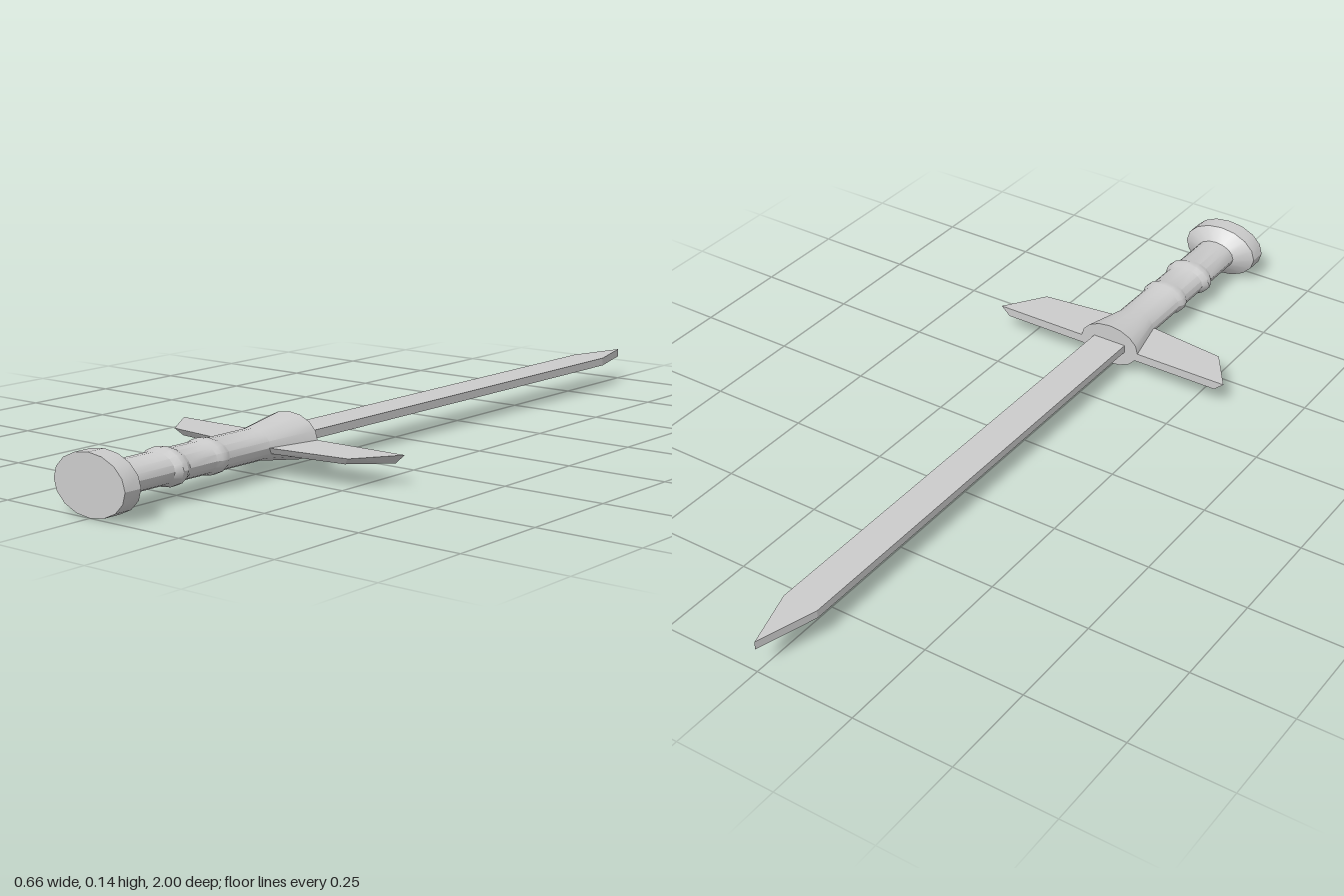
import * as THREE from 'three';
import { toCreasedNormals } from 'three/addons/utils/BufferGeometryUtils.js';
import { ConvexGeometry } from 'three/addons/geometries/ConvexGeometry.js';

const MID_Y = 0.07; // height of the sword's centre line

export function createModel() {
  const sword = new THREE.Group();
  sword.name = 'sword';
  const material = new THREE.MeshStandardMaterial({ color: 0xcccccc });
  const add = (name, geometry) => {
    const mesh = new THREE.Mesh(geometry, material);
    mesh.name = name;
    sword.add(mesh);
    return mesh;
  };

  // Hilt: flared collar, ringed grip and pommel as one oval turned profile [radius, z]
  const profile = [
    [0, 0.385], [0.083, 0.385], [0.055, 0.51],
    [0.055, 0.64], [0.061, 0.652], [0.061, 0.668], [0.055, 0.68],
    [0.055, 0.762], [0.065, 0.778], [0.065, 0.792], [0.055, 0.808],
    [0.055, 0.928], [0.104, 0.955], [0.104, 1], [0, 1],
  ].map(([r, z]) => new THREE.Vector2(r, z));
  const hilt = new THREE.LatheGeometry(profile, 16);
  hilt.scale(1, 1, 0.665);
  hilt.rotateX(Math.PI / 2);
  hilt.translate(0, MID_Y, 0);
  add('hilt', toCreasedNormals(hilt, 0.5));

  // Crossguard: two wings with bevelled ends and a sloping underside
  const wing = [
    [0.03, 0.07, 0.385], [0.33, 0.07, 0.385], [0.258, 0.07, 0.49], [0.03, 0.07, 0.517],
    [0.03, 0.048, 0.385], [0.305, 0.048, 0.385], [0.24, 0.054, 0.48], [0.03, 0.055, 0.507],
  ];
  for (const [name, side] of [['leftGuard', 1], ['rightGuard', -1]]) {
    add(name, new ConvexGeometry(wing.map(([x, y, z]) => new THREE.Vector3(side * x, y, z))));
  }

  // Blade: flat pointed outline drawn in x and -z, extruded upwards
  const outline = new THREE.Shape([
    [-0.045, -0.4], [0.045, -0.4], [0.045, 0.85], [0, 1], [-0.045, 0.85],
  ].map(([x, y]) => new THREE.Vector2(x, y)));
  const blade = new THREE.ExtrudeGeometry(outline, { depth: 0.02, bevelEnabled: false });
  blade.rotateX(-Math.PI / 2);
  blade.translate(0, 0.062, 0);
  add('blade', blade);

  return sword;
}
